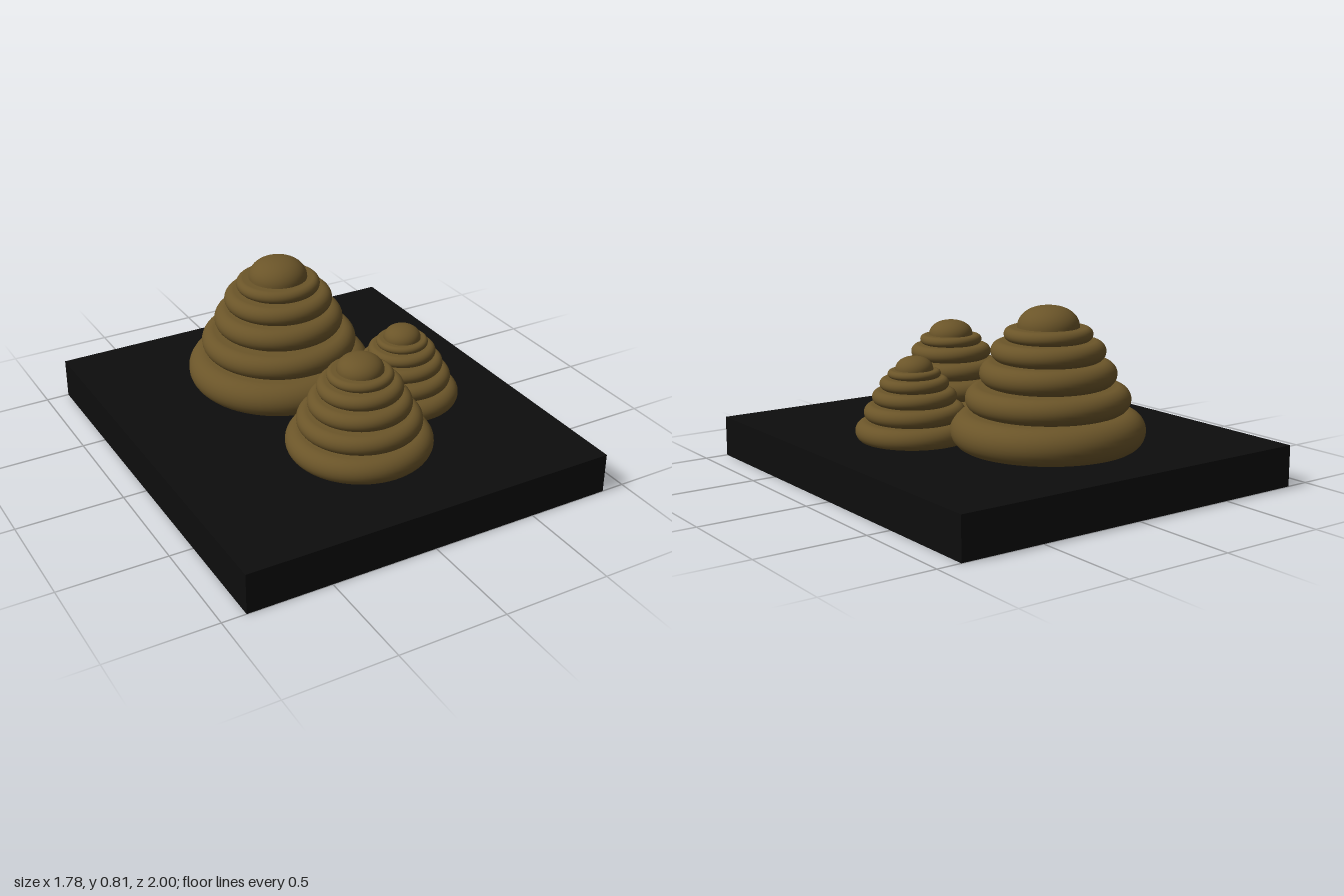
import * as THREE from 'three';

const BROWN = new THREE.MeshStandardMaterial({ color: 0x6b5529 });
const BLACK = new THREE.MeshStandardMaterial({ color: 0x0d0d0d });

// Each mound: centre, tier boundaries from bottom to dome top, and radius per tier (last is the dome)
const MOUNDS = [
  { name: 'largeMound', x: -0.03, z: -0.35,
    levels: [0.18, 0.345, 0.46, 0.57, 0.66, 0.72, 0.815],
    radii: [0.435, 0.368, 0.305, 0.255, 0.197, 0.138] },
  { name: 'mediumMound', x: -0.03, z: 0.41,
    levels: [0.18, 0.3, 0.39, 0.47, 0.54, 0.585, 0.655],
    radii: [0.33, 0.28, 0.232, 0.192, 0.148, 0.105] },
  { name: 'smallMound', x: 0.375, z: 0.11,
    levels: [0.18, 0.275, 0.35, 0.415, 0.47, 0.505, 0.565],
    radii: [0.27, 0.23, 0.192, 0.157, 0.12, 0.086] },
];

function lathe(name, points) {
  const mesh = new THREE.Mesh(new THREE.LatheGeometry(points, 64), BROWN);
  mesh.name = name;
  return mesh;
}

// Flat disc with a half-round rim
function tier(name, radius, y0, y1) {
  const r = (y1 - y0) / 2, points = [new THREE.Vector2(0, y0)];
  for (let i = 0; i <= 14; i++) {
    const a = -Math.PI / 2 + (i / 14) * Math.PI;
    points.push(new THREE.Vector2(radius - r + r * Math.cos(a), y0 + r + r * Math.sin(a)));
  }
  points.push(new THREE.Vector2(0, y1));
  return lathe(name, points);
}

// Slightly flattened cap
function dome(radius, y0, y1) {
  const points = [];
  for (let i = 0; i <= 16; i++) {
    const a = (i / 16) * Math.PI / 2;
    const c = i === 16 ? 0 : Math.cos(a);
    points.push(new THREE.Vector2(radius * Math.pow(c, 0.9), y0 + (y1 - y0) * Math.pow(Math.sin(a), 0.95)));
  }
  return lathe('dome', points);
}

export function createModel() {
  const model = new THREE.Group();
  model.name = 'moundsOnSlab';

  // Slab
  const base = new THREE.Mesh(new THREE.BoxGeometry(1.78, 0.19, 2), BLACK);
  base.name = 'baseSlab';
  base.position.y = 0.095;
  model.add(base);

  // Stepped mounds
  for (const { name, x, z, levels, radii } of MOUNDS) {
    const mound = new THREE.Group();
    mound.name = name;
    mound.position.set(x, 0, z);
    radii.forEach((r, i) => {
      const last = i === radii.length - 1;
      mound.add(last ? dome(r, levels[i], levels[i + 1]) : tier(`tier${i + 1}`, r, levels[i], levels[i + 1]));
    });
    model.add(mound);
  }
  return model;
}
